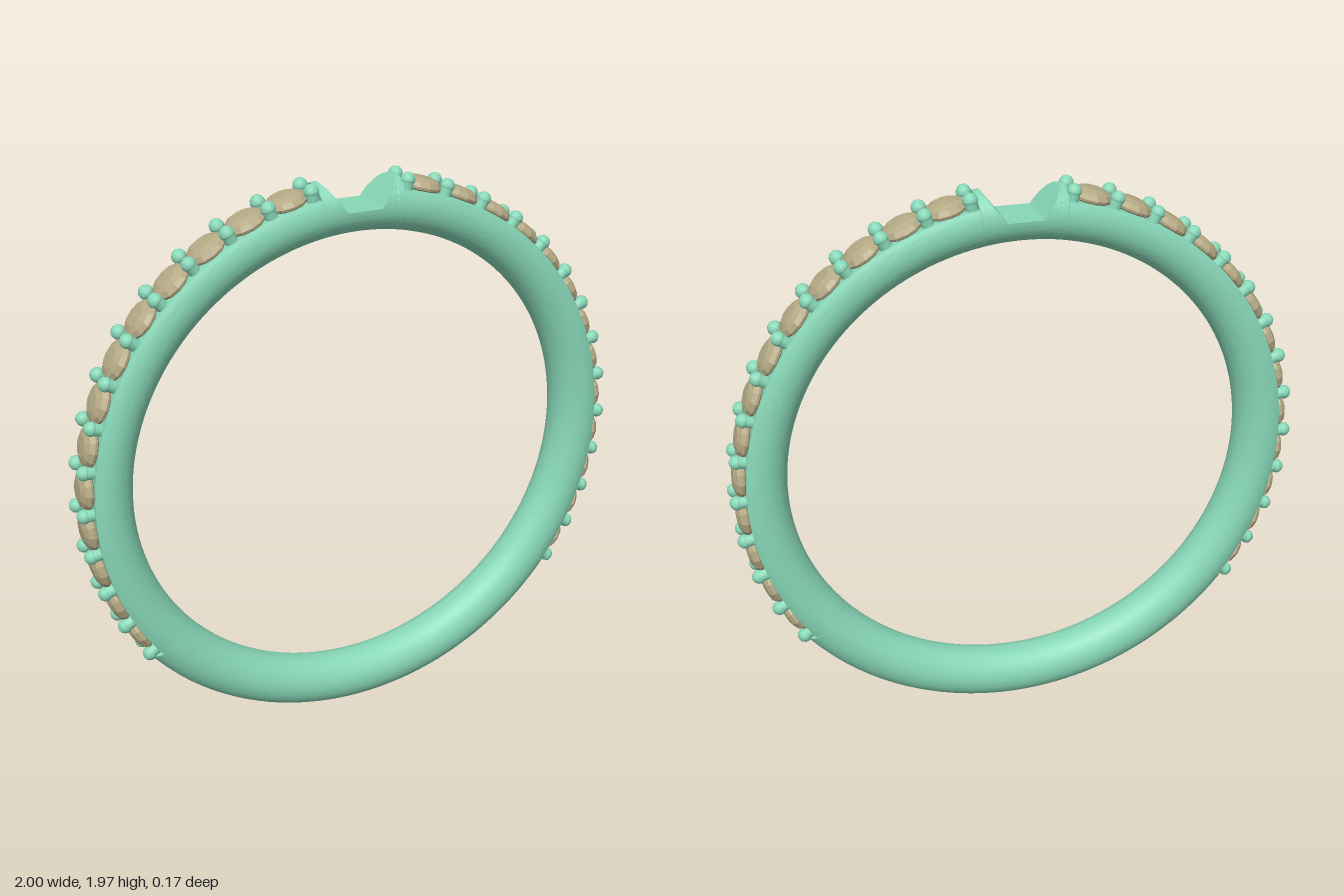
import * as THREE from 'three';
import { toCreasedNormals } from 'three/addons/utils/BufferGeometryUtils.js';

const CY = 0.987;            // height of the ring centre
const R_IN = 0.803, R_OUT = 0.986, HALF_W = 0.087;
const CHANNEL_R = 0.945;     // floor the stones sit on
const CH_START = -37.2, CH_END = 81.2;
const STEP = 8.9, FIRST = 80, STONES = 13;
const rad = THREE.MathUtils.degToRad;

// Outer radius of the band at an angle t (degrees from +x, mirrored left/right)
function outerRadius(t) {
  const m = t > 90 ? 180 - t : t;
  if (m > CH_START && m < CH_END) return CHANNEL_R;
  if (m < 75) return R_OUT;
  // top notch: flat floor with sloping walls
  const k = 1.3, floorY = 0.888, floorX = 0.06;
  const s = Math.sin(rad(m)), c = Math.cos(rad(m));
  const slope = (floorY - k * floorX) / (s - k * c);
  return Math.min(R_OUT, Math.max(floorY / s, slope));
}

// Round band swept through all angles, its outer side cut flat where needed
function bandGeometry() {
  const angles = [];
  for (let t = -90; t < 270; t += 2) if (t < 80 || t > 100) angles.push(t);
  for (let t = 80; t <= 100; t += 0.25) angles.push(t);
  for (const e of [CH_START, CH_END]) {
    for (const d of [-0.03, 0.03]) angles.push(e + d, 180 - e - d);
  }
  angles.sort((a, b) => a - b);

  const N = 40, mid = (R_IN + R_OUT) / 2, a = (R_OUT - R_IN) / 2;
  const pos = [], idx = [];
  for (const t of angles) {
    const cut = Math.acos(Math.min(1, (outerRadius(t) - mid) / a));
    for (let j = 0; j < N; j++) {
      const phi = cut + (2 * Math.PI - 2 * cut) * j / (N - 1);
      const r = mid + a * Math.cos(phi);
      pos.push(r * Math.cos(rad(t)), r * Math.sin(rad(t)), HALF_W * Math.sin(phi));
    }
  }
  const M = angles.length;
  for (let i = 0; i < M; i++) {
    for (let j = 0; j < N; j++) {
      const i2 = (i + 1) % M, j2 = (j + 1) % N;
      const p = i * N + j, q = i2 * N + j, s = i2 * N + j2, u = i * N + j2;
      idx.push(p, q, s, p, s, u);
    }
  }
  const g = new THREE.BufferGeometry();
  g.setAttribute('position', new THREE.Float32BufferAttribute(pos, 3));
  g.setIndex(idx);
  return toCreasedNormals(g, 0.6);
}

export function createModel() {
  const model = new THREE.Group();
  model.name = 'ring';
  const metal = new THREE.MeshStandardMaterial({ color: 0x88d8b8 });
  const gem = new THREE.MeshStandardMaterial({ color: 0xb5aa85, flatShading: true });

  const band = new THREE.Mesh(bandGeometry(), metal);
  band.name = 'band';
  band.position.y = CY;
  model.add(band);

  // faceted stone: pavilion, girdle, crown, table (y = 0 at the ring's channel floor)
  const stoneGeo = new THREE.LatheGeometry([
    [0, -0.05], [0.071, 0.004], [0.073, 0.012], [0.062, 0.027], [0.038, 0.038], [0, 0.04],
  ].map(([x, y]) => new THREE.Vector2(x, y)), 12);

  // prong: short post with a round head
  const prongGeo = new THREE.LatheGeometry([
    [0.021, -0.05], [0.021, 0.022], [0.0245, 0.026], [0.025, 0.032],
    [0.0217, 0.0435], [0.0125, 0.0525], [0, 0.056],
  ].map(([x, y]) => new THREE.Vector2(x, y)), 14);

  // places a part on the channel floor, pointing outward
  function place(geo, mat, name, t, z) {
    const mesh = new THREE.Mesh(geo, mat);
    mesh.name = name;
    mesh.position.set(CHANNEL_R * Math.cos(rad(t)), CY + CHANNEL_R * Math.sin(rad(t)), z);
    mesh.rotation.z = rad(t - 90);
    model.add(mesh);
  }

  for (const side of ['left', 'right']) {
    const angle = (t) => (side === 'left' ? t : 180 - t);
    for (let i = 0; i < STONES; i++) {
      place(stoneGeo, gem, side + 'Stone', angle(FIRST - STEP * (i + 0.5)), 0);
    }
    for (let i = 0; i <= STONES; i++) {
      for (const z of [-0.044, 0.044]) place(prongGeo, metal, side + 'Prong', angle(FIRST - STEP * i), z);
    }
  }
  return model;
}
